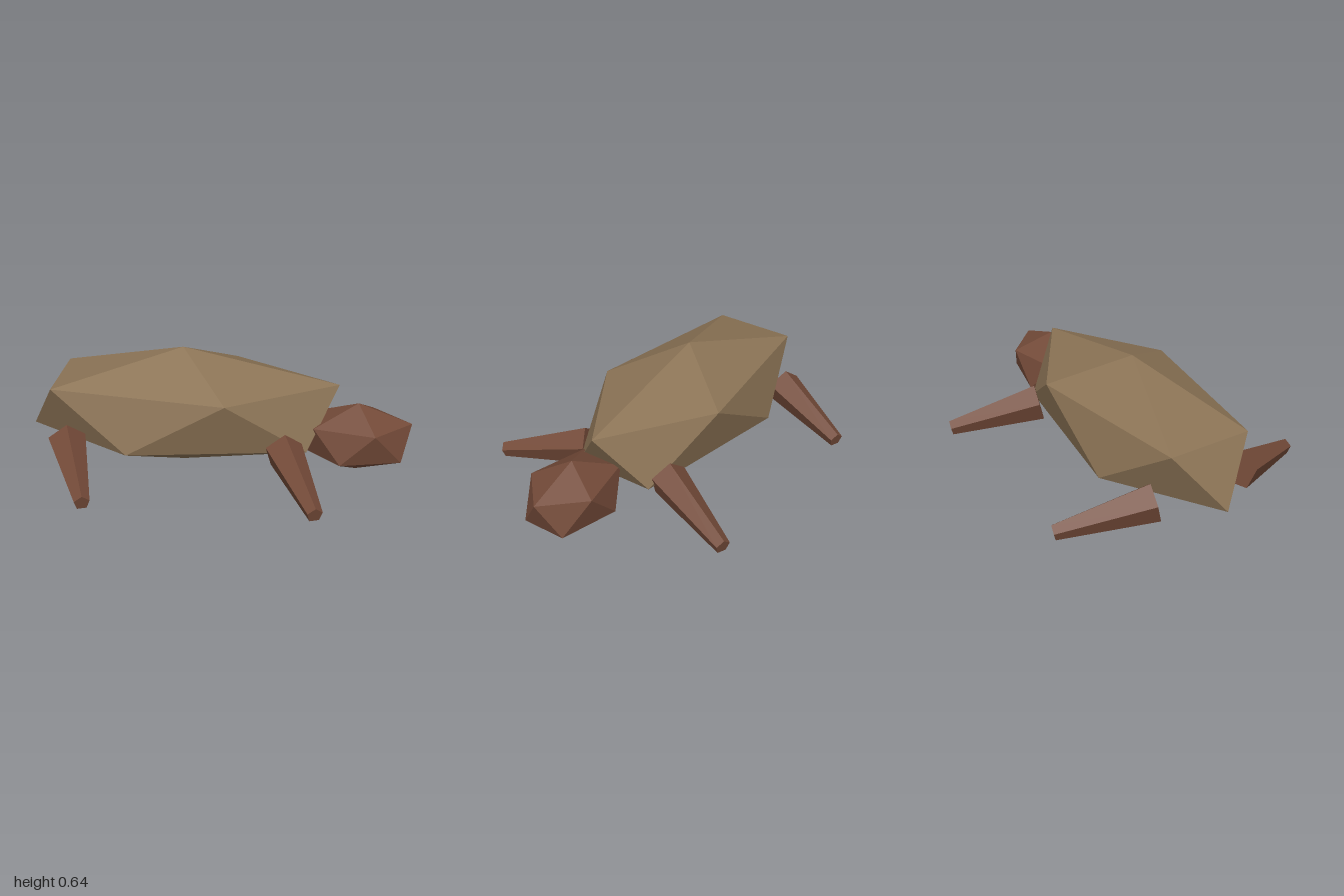
import * as THREE from 'three';
import { ConvexGeometry } from 'three/addons/geometries/ConvexGeometry.js';

// Icosahedron standing on a vertex, upper ring pointing to +x, stretched per axis
function uprightIcosahedron(rx, ry, rz) {
  const points = [new THREE.Vector3(0, ry, 0), new THREE.Vector3(0, -ry, 0)];
  const h = 1 / Math.sqrt(5);
  for (let i = 0; i < 5; i++) {
    const a = (i * Math.PI * 2) / 5;
    const x = 2 * h * Math.cos(a) * rx;
    const z = 2 * h * Math.sin(a) * rz;
    points.push(new THREE.Vector3(x, h * ry, z), new THREE.Vector3(-x, -h * ry, -z));
  }
  return new ConvexGeometry(points);
}

// Tapered five-sided leg from hip to foot, with one ridge kept on top
function taperedLeg(hip, foot, material) {
  const along = foot.clone().sub(hip);
  const geometry = new THREE.CylinderGeometry(0.04, 0.1, along.length(), 5);
  along.normalize();
  const up = new THREE.Vector3(0, 1, 0).addScaledVector(along, -along.y).normalize();
  const side = along.clone().cross(up);
  const leg = new THREE.Mesh(geometry, material);
  leg.quaternion.setFromRotationMatrix(new THREE.Matrix4().makeBasis(side, along, up));
  leg.position.copy(hip).add(foot).multiplyScalar(0.5);
  return leg;
}

export function createModel() {
  const model = new THREE.Group();
  model.name = 'turtle';

  const shellBrown = new THREE.MeshStandardMaterial({ color: 0x8b7355, flatShading: true });
  shellBrown.name = 'shell brown';
  const skinBrown = new THREE.MeshStandardMaterial({ color: 0x734a38, flatShading: true });
  skinBrown.name = 'skin brown';

  // Shell
  const shell = new THREE.Mesh(uprightIcosahedron(0.905, 0.32, 0.417), shellBrown);
  shell.name = 'shell';
  shell.position.set(-0.19, 0.322, 0);
  model.add(shell);

  // Head, slightly off centre
  const head = new THREE.Mesh(uprightIcosahedron(0.31, 0.186, 0.223), skinBrown);
  head.name = 'head';
  head.position.set(0.72, 0.2, 0.045);
  model.add(head);

  // Four splayed legs
  for (const [end, x] of [['rear', -0.765], ['front', 0.348]]) {
    for (const [flank, s] of [['Right', 1], ['Left', -1]]) {
      const hip = new THREE.Vector3(x, 0.197, 0.249 * s);
      const foot = new THREE.Vector3(x + 0.174, 0.087, 0.697 * s);
      const leg = taperedLeg(hip, foot, skinBrown);
      leg.name = `${end}${flank}Leg`;
      model.add(leg);
    }
  }
  return model;
}
